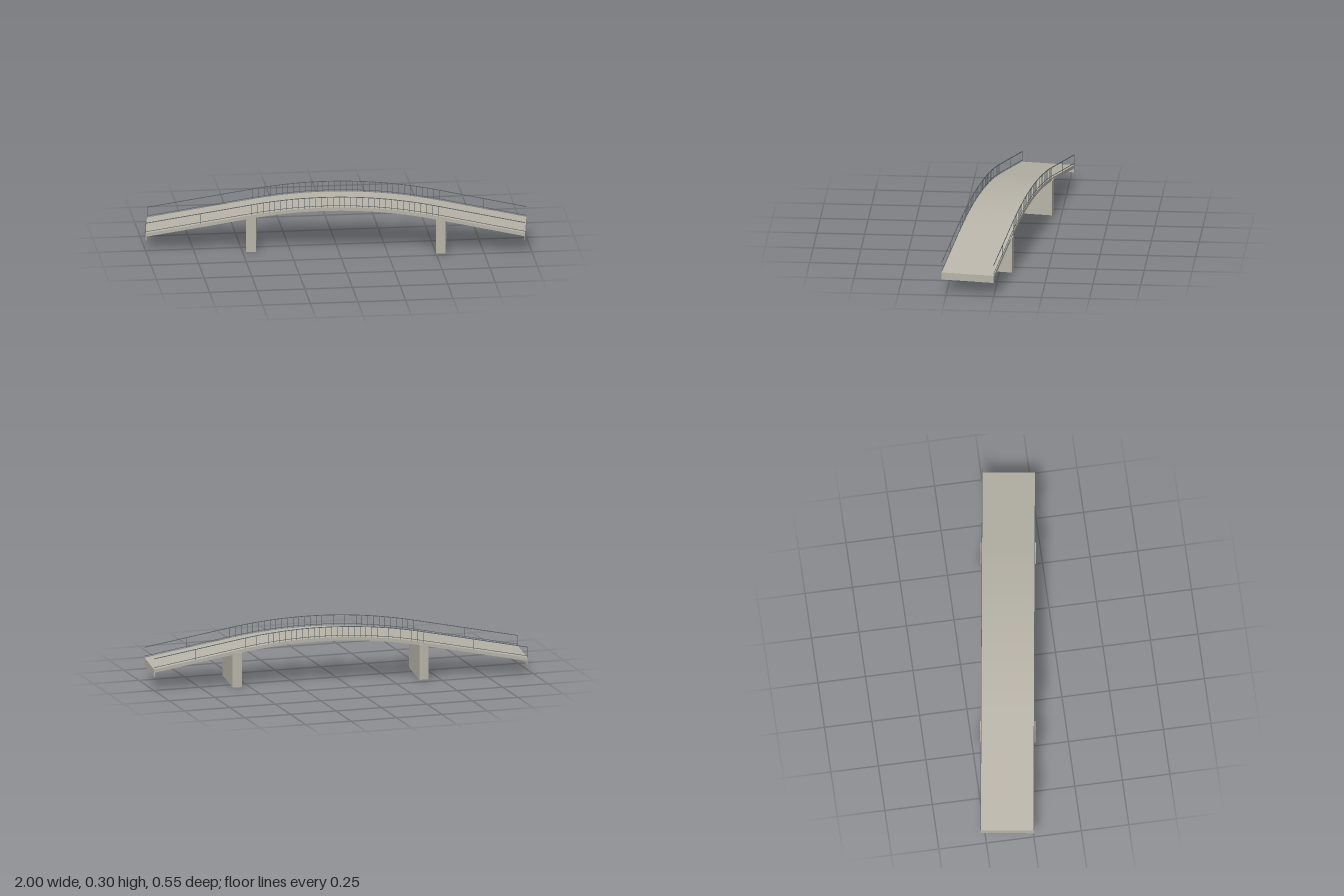
import * as THREE from 'three';

const HALF_LENGTH = 0.99;
const HALF_WIDTH = 0.139;
const CREST = 0.05;      // position of the highest point along the bridge
const HALF_ARCH = 0.487; // half length of the curved middle
const SLOPE = 0.19;      // slope of the straight ramps
const SKEW = THREE.MathUtils.degToRad(-8);

// Height of the road surface: a parabolic crest between straight ramps
function deckY(u) {
  const d = Math.abs(u - CREST);
  if (d <= HALF_ARCH) return 0.245 - SLOPE * d * d / (2 * HALF_ARCH);
  return 0.245 - SLOPE * (HALF_ARCH / 2 + d - HALF_ARCH);
}

// Stations along the bridge: both ends plus the finely divided arch
const ARCH_STEPS = 32;
const archStations = [];
for (let i = 0; i <= ARCH_STEPS; i++) {
  archStations.push(CREST - HALF_ARCH + (2 * HALF_ARCH * i) / ARCH_STEPS);
}
const stations = [-HALF_LENGTH, ...archStations, HALF_LENGTH];

// Strip that follows the road curve between two offsets from its surface
function curvedStrip(bottom, top, width) {
  const outline = [
    ...stations.map((u) => new THREE.Vector2(u, deckY(u) + bottom)),
    ...[...stations].reverse().map((u) => new THREE.Vector2(u, deckY(u) + top)),
  ];
  const geometry = new THREE.ExtrudeGeometry(new THREE.Shape(outline), {
    depth: width, bevelEnabled: false,
  });
  return geometry.translate(0, 0, -width / 2);
}

export function createModel() {
  const concrete = new THREE.MeshStandardMaterial({ color: 0xb8b4a9 });
  concrete.name = 'concrete';
  const steel = new THREE.MeshStandardMaterial({ color: 0x5a6266 });
  steel.name = 'grey steel';

  const model = new THREE.Group();
  model.name = 'footbridge';
  const bridge = new THREE.Group();
  bridge.name = 'skewedBridge';
  bridge.rotation.y = SKEW;
  model.add(bridge);

  function add(parent, name, geometry, material, x = 0, y = 0, z = 0) {
    const mesh = new THREE.Mesh(geometry, material);
    mesh.name = name;
    mesh.position.set(x, y, z);
    parent.add(mesh);
  }

  // Deck slab
  add(bridge, 'deck', curvedStrip(-0.018, 0, HALF_WIDTH * 2), concrete);

  // Thin end plates hanging below the deck
  for (const side of [-1, 1]) {
    const u = side * HALF_LENGTH;
    const plate = new THREE.BoxGeometry(0.004, 0.038, HALF_WIDTH * 2);
    add(bridge, 'endPlate', plate, concrete, u - side * 0.002, deckY(u) - 0.02, 0);
  }

  // Wall piers, slightly wider than the deck
  for (const u of [-0.44, 0.55]) {
    add(bridge, 'pier', new THREE.BoxGeometry(0.05, 0.187, 0.29), concrete, u, 0.0935, 0);
  }

  // Railings: handrail, bottom rail, and posts that are dense over the arch
  const postStations = [-HALF_LENGTH + 0.001, -0.705, ...archStations, 0.768];
  for (const side of [-1, 1]) {
    const railing = new THREE.Group();
    railing.name = side > 0 ? 'frontRailing' : 'backRailing';
    railing.position.z = side * (HALF_WIDTH - 0.001);
    bridge.add(railing);
    add(railing, 'handrail', curvedStrip(0.0545, 0.058, 0.003), steel);
    add(railing, 'bottomRail', curvedStrip(0.008, 0.0105, 0.002), steel);
    for (const u of postStations) {
      const post = new THREE.BoxGeometry(0.002, 0.056, 0.002);
      add(railing, 'post', post, steel, u, deckY(u) + 0.028, 0);
    }
  }

  return model;
}
